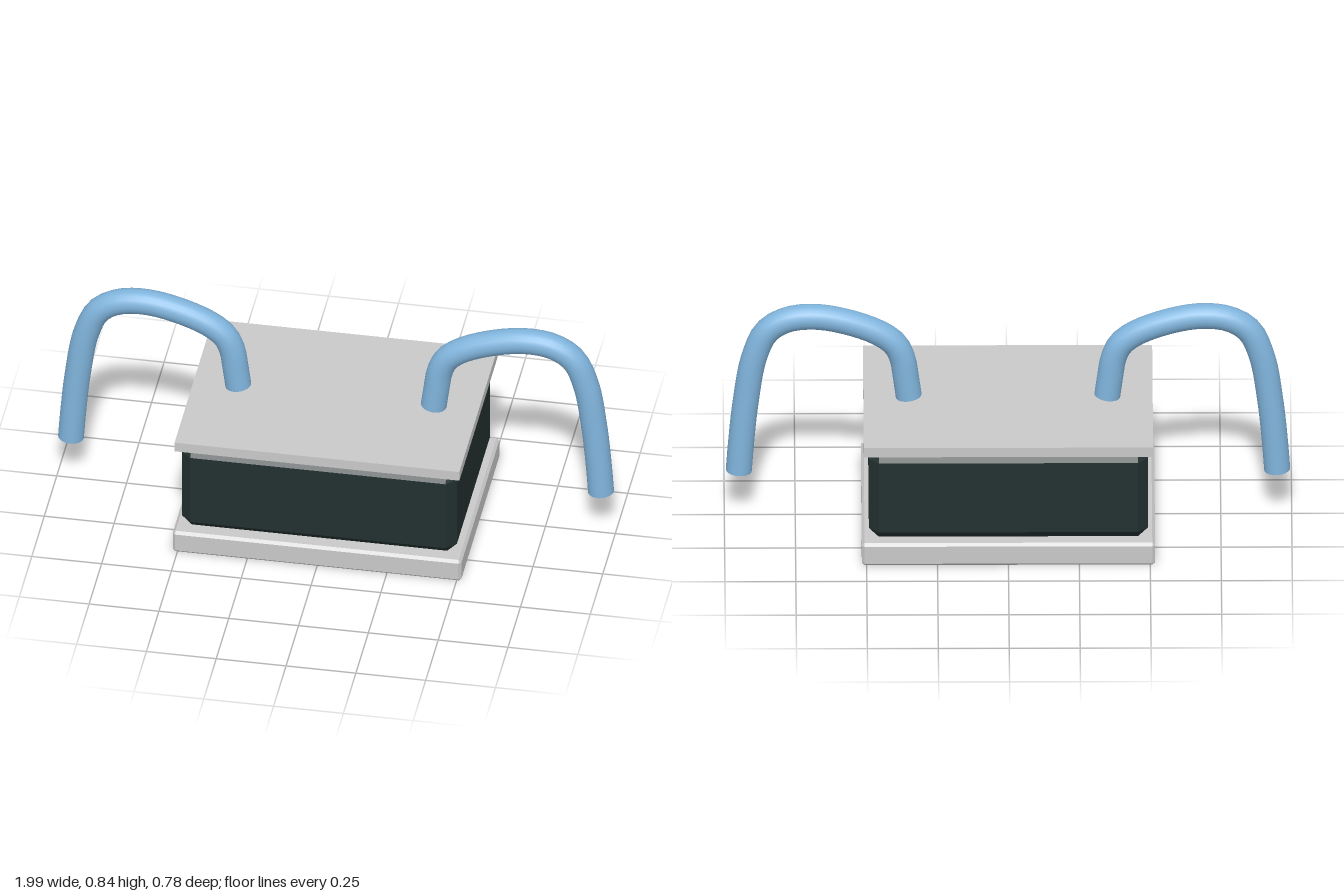
import * as THREE from 'three';
import { ConvexGeometry } from 'three/addons/geometries/ConvexGeometry.js';

const material = (name, color) => new THREE.MeshStandardMaterial({ name, color });

// Box with half sizes hx, hz between y0 and y1, every edge cut by c
function chamferBox(hx, hz, y0, y1, c) {
  const hy = (y1 - y0) / 2;
  const points = [];
  for (const x of [-1, 1]) for (const y of [-1, 1]) for (const z of [-1, 1]) {
    points.push(
      new THREE.Vector3(x * hx, y * (hy - c), z * (hz - c)),
      new THREE.Vector3(x * (hx - c), y * hy, z * (hz - c)),
      new THREE.Vector3(x * (hx - c), y * (hy - c), z * hz));
  }
  return new ConvexGeometry(points).translate(0, (y0 + y1) / 2, 0);
}

export function createModel() {
  const model = new THREE.Group();
  model.name = 'component';
  const grey = material('lightGrey', 0xc8c8c8);
  const dark = material('darkSlate', 0x22302f);
  const blue = material('cableBlue', 0x80b4dc);
  const green = material('cutEndGreen', 0x3f9c78);

  const add = (parent, name, geometry, mat) => {
    const mesh = new THREE.Mesh(geometry, mat);
    mesh.name = name;
    parent.add(mesh);
    return mesh;
  };

  // Stacked block: base, body and lid
  add(model, 'base', chamferBox(0.517, 0.388, 0, 0.088, 0.01), grey);
  add(model, 'body', chamferBox(0.492, 0.365, 0.088, 0.434, 0.035), dark);
  add(model, 'lid', new THREE.BoxGeometry(1.02, 0.037, 0.764).translate(0, 0.4515, 0), grey);

  // Bent cables, mirrored left and right
  const path = [[0.35, 0.475], [0.36, 0.55], [0.372, 0.625], [0.397, 0.68], [0.45, 0.723],
    [0.56, 0.768], [0.68, 0.791], [0.78, 0.779], [0.85, 0.733], [0.895, 0.63],
    [0.925, 0.45], [0.94, 0.3], [0.949, 0.178]];
  const radius = 0.046;
  for (const side of [-1, 1]) {
    const cable = new THREE.Group();
    cable.name = side > 0 ? 'leftCable' : 'rightCable';
    const curve = new THREE.CatmullRomCurve3(
      path.map(([x, y]) => new THREE.Vector3(side * x, y, 0)));
    add(cable, 'tube', new THREE.TubeGeometry(curve, 40, radius, 20), blue);

    // Flat discs close both ends
    for (const t of [0, 1]) {
      const cap = add(cable, t ? 'outerEnd' : 'innerEnd', new THREE.CircleGeometry(radius, 20), green);
      const out = curve.getTangent(t).multiplyScalar(t ? 1 : -1);
      cap.position.copy(curve.getPoint(t));
      cap.quaternion.setFromUnitVectors(new THREE.Vector3(0, 0, 1), out);
    }
    model.add(cable);
  }
  return model;
}
